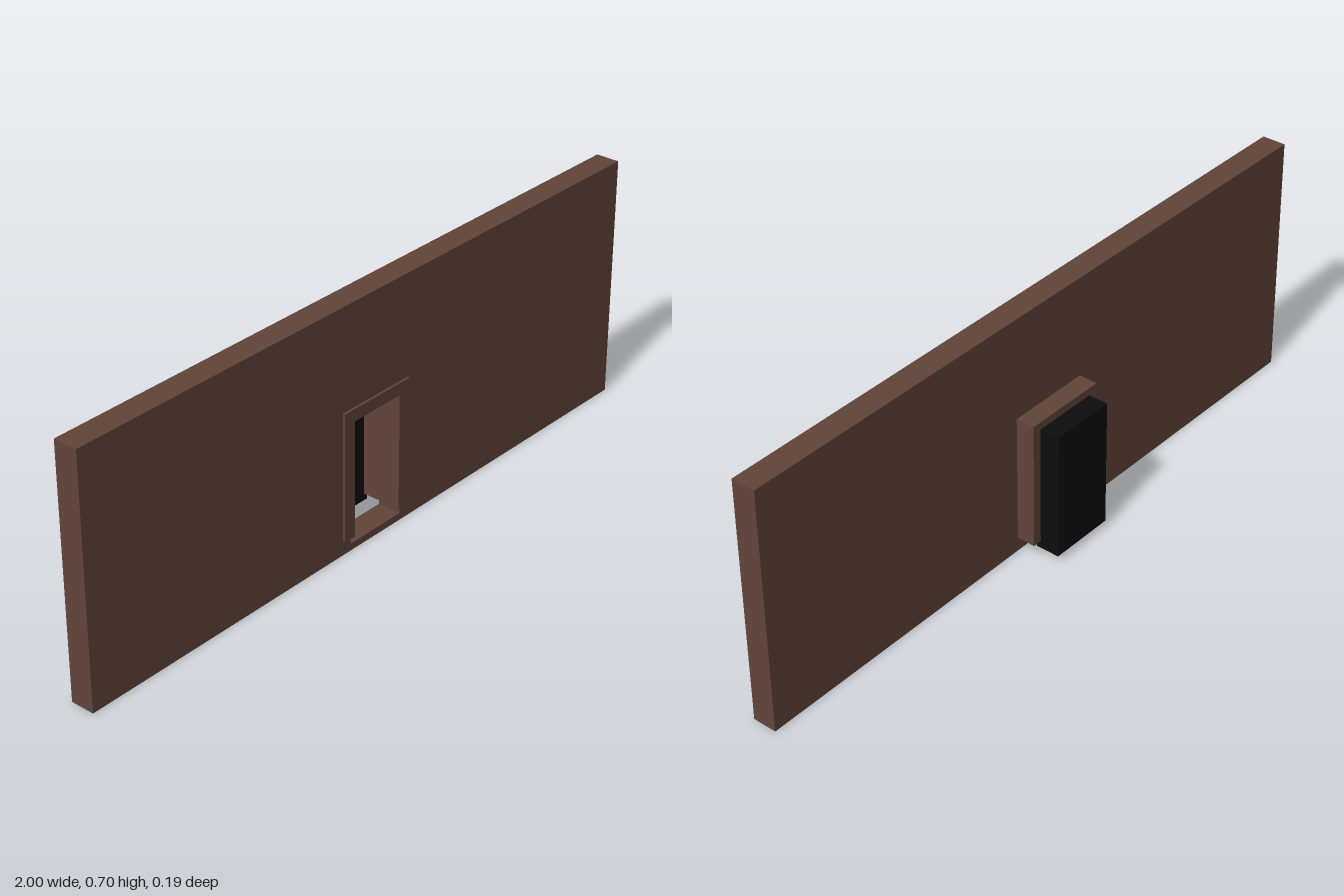
import * as THREE from 'three';

// Rectangle outline as a list of points
const rect = (x0, y0, x1, y1) =>
  [[x0, y0], [x1, y0], [x1, y1], [x0, y1]].map(([x, y]) => new THREE.Vector2(x, y));

// Extrude an outline between two z planes
function slab(name, outline, hole, z0, z1, material) {
  const shape = new THREE.Shape(outline);
  if (hole) shape.holes.push(new THREE.Path(hole));
  const geometry = new THREE.ExtrudeGeometry(shape, { depth: z1 - z0, bevelEnabled: false });
  geometry.translate(0, 0, z0);
  const mesh = new THREE.Mesh(geometry, material);
  mesh.name = name;
  return mesh;
}

export function createModel() {
  const brown = new THREE.MeshStandardMaterial({ color: 0x62443a });
  brown.name = 'brown';
  const black = new THREE.MeshStandardMaterial({ color: 0x0d0d0d });
  black.name = 'black';

  const model = new THREE.Group();
  model.name = 'wallWithDoor';

  // Wall with a doorway cut through it
  const doorway = rect(-0.099, 0.02, 0.094, 0.389);
  model.add(slab('wall', rect(-1, 0, 1, 0.702), doorway, 0.018, 0.087, brown));

  // Frame: two jambs and a lintel, open at the bottom
  const frame = [
    [-0.128, 0.041], [-0.09, 0.041], [-0.09, 0.376], [0.081, 0.376],
    [0.081, 0.041], [0.12, 0.041], [0.12, 0.411], [-0.128, 0.411],
  ].map(([x, y]) => new THREE.Vector2(x, y));
  model.add(slab('doorFrame', frame, null, -0.036, 0.094, brown));

  // Door panel set against the back of the frame
  model.add(slab('door', doorway, null, -0.093, -0.023, black));

  return model;
}
